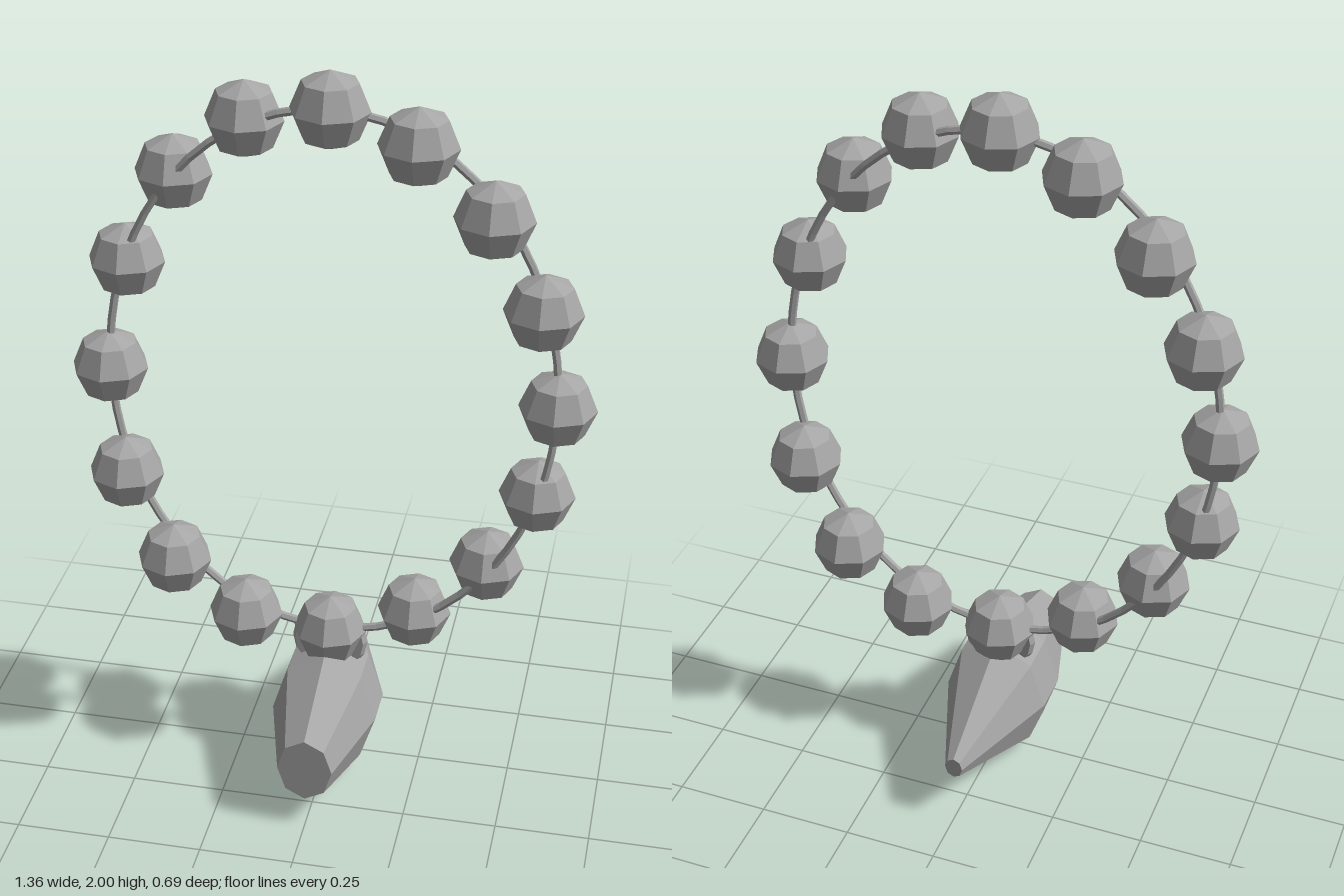
import * as THREE from 'three';

export function createModel() {
  const group = new THREE.Group();
  const stone = new THREE.MeshStandardMaterial({ color: 0xa6a6a6, flatShading: true });
  stone.name = 'grey stone';

  const add = (name, geometry, x = 0, y = 0, z = 0) => {
    const mesh = new THREE.Mesh(geometry, stone);
    mesh.name = name;
    mesh.position.set(x, y, z);
    group.add(mesh);
    return mesh;
  };

  // Oval loop that carries the beads
  const centreY = 1.155, rx = 0.58, ry = 0.745;
  const loop = [];
  for (let i = 0; i < 32; i++) {
    const a = (i / 32) * Math.PI * 2;
    loop.push(new THREE.Vector3(rx * Math.cos(a), centreY + ry * Math.sin(a), 0));
  }
  const path = new THREE.CatmullRomCurve3(loop, true);
  add('cord', new THREE.TubeGeometry(path, 64, 0.011, 6, true), 0, 0, 0.003);

  // Faceted beads, weaving gently in front of and behind the cord
  const beadGeometry = new THREE.SphereGeometry(0.1, 8, 4);
  for (let i = 0; i < 16; i++) {
    const a = (i / 16) * Math.PI * 2;
    add(`bead${i + 1}`, beadGeometry,
      rx * Math.cos(a), centreY + ry * Math.sin(a), 0.004 + 0.066 * Math.sin(2 * a));
  }

  // Ring joining the pendant to the lowest bead
  add('pendantRing', new THREE.TorusGeometry(0.085, 0.018, 6, 16), 0, 0.375, 0.006);

  // Eight-sided pendant: blunt at the front, tapering to the back
  const profile = [
    [0, -0.346], [0.031, -0.346], [0.183, -0.025], [0.183, 0.09], [0.094, 0.346], [0, 0.346],
  ].map(([r, z]) => new THREE.Vector2(r, z));
  const pendant = new THREE.LatheGeometry(profile, 8);
  pendant.rotateX(Math.PI / 2);
  pendant.scale(0.78, 1, 1);
  add('pendant', pendant, 0, 0.184, 0);

  return group;
}
